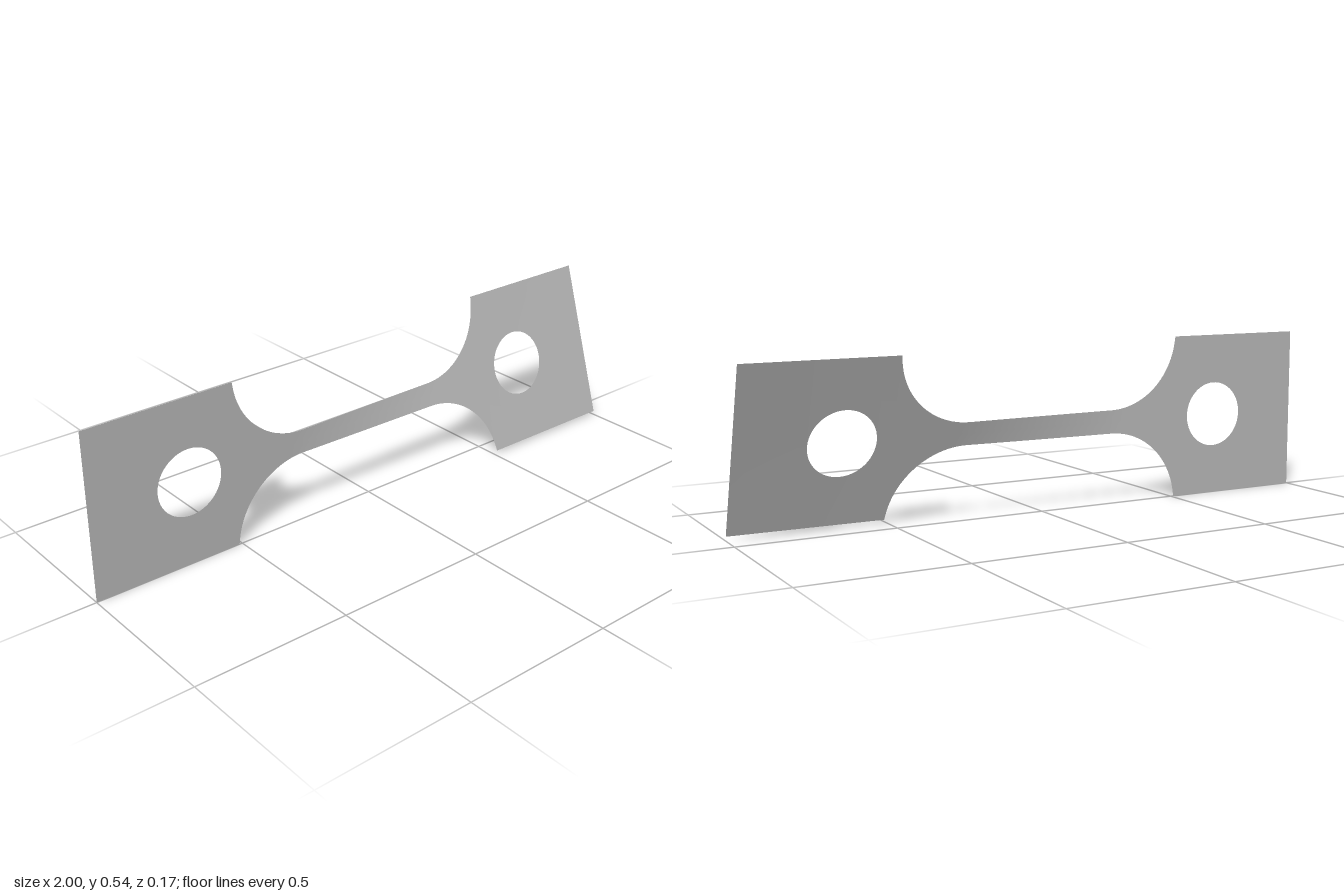
import * as THREE from 'three';

const MID = 0.27;       // height of the long axis
const HALF = 0.27;      // half height of the end tabs
const BAR = 0.0385;     // half height of the narrow bar
const FILLET = 0.25, FILLET_X = 0.26;
const HOLE = 0.108, HOLE_X = 0.67;
const TAB_X = 0.51;

// Twist about the long axis: none on the right tab, about 17 degrees on the left
function twist(x) {
  const t = THREE.MathUtils.clamp((x + 0.3) / 0.6, 0, 1);
  const extra = Math.max(0, (x - 0.5) / 0.5);
  return THREE.MathUtils.degToRad(17 * t + extra);
}

// Thin sheet from columns [x, inner half height, outer half height], mirrored about the axis
function sheet(columns) {
  const pos = [], index = [];
  const rows = 4;
  for (const side of [1, -1]) {
    const base = pos.length / 3;
    columns.forEach(([x, inner, outer], i) => {
      const a = twist(x);
      for (let j = 0; j <= rows; j++) {
        const h = side * (inner + (outer - inner) * j / rows);
        pos.push(x, MID + h * Math.cos(a), -h * Math.sin(a));
        if (i > 0 && j > 0) {
          const d = base + i * (rows + 1) + j, c = d - 1;
          const b = d - rows - 1, e = b - 1;
          if (side > 0) index.push(e, c, d, e, d, b);
          else index.push(e, d, c, e, b, d);
        }
      }
    });
  }
  const g = new THREE.BufferGeometry();
  g.setAttribute('position', new THREE.Float32BufferAttribute(pos, 3));
  g.setIndex(index);
  g.computeVertexNormals();
  return g;
}

export function createModel() {
  const group = new THREE.Group();
  const steel = new THREE.MeshStandardMaterial({ color: 0xb8b8b8, side: THREE.DoubleSide });
  steel.name = 'grey steel';
  const add = (name, columns) => {
    const mesh = new THREE.Mesh(sheet(columns), steel);
    mesh.name = name;
    group.add(mesh);
  };

  // End tabs with a round hole
  const tab = [[TAB_X, 0, HALF]];
  const steps = 40;
  for (let i = 0; i <= steps; i++) {
    const a = Math.PI * (1 - i / steps);
    tab.push([HOLE_X + HOLE * Math.cos(a), HOLE * Math.sin(a), HALF]);
  }
  tab.push([1, 0, HALF]);
  const mirror = (cols) => cols.map(([x, i, o]) => [-x, i, o]).reverse();
  add('leftTab', tab);
  add('rightTab', mirror(tab));

  // Filleted shoulders between tab and bar
  const shoulder = [];
  const end = Math.acos((BAR + FILLET - HALF) / FILLET);
  for (let i = 0; i <= 24; i++) {
    const a = end * i / 24;
    shoulder.push([FILLET_X + FILLET * Math.sin(a), 0, BAR + FILLET * (1 - Math.cos(a))]);
  }
  shoulder[24][0] = TAB_X;
  add('leftShoulder', shoulder);
  add('rightShoulder', mirror(shoulder));

  // Narrow twisted bar
  const bar = [];
  for (let i = 0; i <= 20; i++) bar.push([FILLET_X * (i / 10 - 1), 0, BAR]);
  add('twistedBar', bar);

  return group;
}
